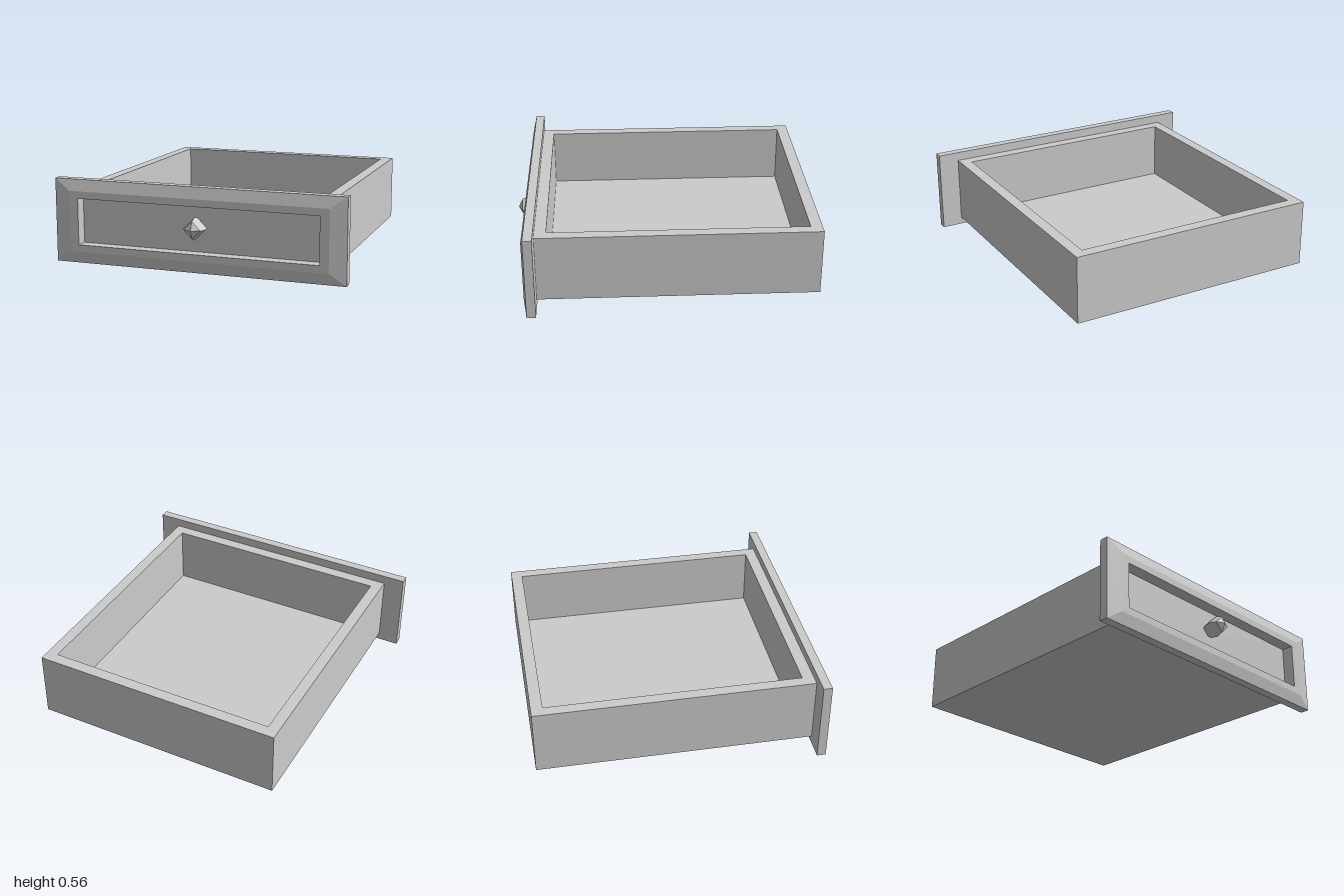
import * as THREE from 'three';

const material = new THREE.MeshStandardMaterial({ color: 0xcccccc, flatShading: true });

// Skins a series of rectangles [halfWidth, halfHeight, z], walked from the back
// over the outside to the inside; optionally caps the first and last rectangle.
function loftRects(rects, capEnds) {
  const positions = [];
  const loops = rects.map(([w, h, z]) => [[-w, -h, z], [w, -h, z], [w, h, z], [-w, h, z]]);
  const quad = (a, b, c, d) => positions.push(...a, ...b, ...c, ...a, ...c, ...d);
  for (let i = 0; i < loops.length - 1; i++) {
    for (let j = 0; j < 4; j++) {
      const k = (j + 1) % 4;
      quad(loops[i][j], loops[i][k], loops[i + 1][k], loops[i + 1][j]);
    }
  }
  if (capEnds) {
    const [a, b, c, d] = loops[0];
    quad(d, c, b, a);
    quad(...loops[loops.length - 1]);
  }
  const geometry = new THREE.BufferGeometry();
  geometry.setAttribute('position', new THREE.Float32BufferAttribute(positions, 3));
  geometry.computeVertexNormals();
  return geometry;
}

function addPart(group, name, geometry, x, y, z) {
  const mesh = new THREE.Mesh(geometry, material);
  mesh.name = name;
  mesh.position.set(x, y, z);
  group.add(mesh);
  return mesh;
}

export function createModel() {
  const group = new THREE.Group();
  group.name = 'drawer';

  // Open-topped tray: outer walls, rim, inner walls and floor
  const tray = loftRects([
    [0.85, 0.925, 0.05],
    [0.85, 0.925, 0.5],
    [0.775, 0.848, 0.5],
    [0.775, 0.848, 0.105],
  ], true);
  tray.rotateX(-Math.PI / 2);
  addPart(group, 'tray', tray, 0, 0, -0.075);

  // Bevelled front frame, its opening showing the tray's front wall as a recess
  const frame = loftRects([
    [0.82, 0.155, 0.85],
    [0.99, 0.28, 0.85],
    [0.99, 0.28, 0.91],
    [0.88, 0.203, 0.93],
    [0.82, 0.155, 0.93],
    [0.82, 0.155, 0.85],
  ], false);
  addPart(group, 'frontPanel', frame, 0, 0.28, 0);

  // Four-sided faceted knob, turned about the z axis
  const profile = [[0.04, 0], [0.065, 0.03], [0.075, 0.08], [0.057, 0.124], [0, 0.15]]
    .map(([r, h]) => new THREE.Vector2(r, h));
  const knob = new THREE.LatheGeometry(profile, 4);
  knob.rotateX(Math.PI / 2);
  addPart(group, 'knob', knob, 0, 0.293, 0.85);

  return group;
}
